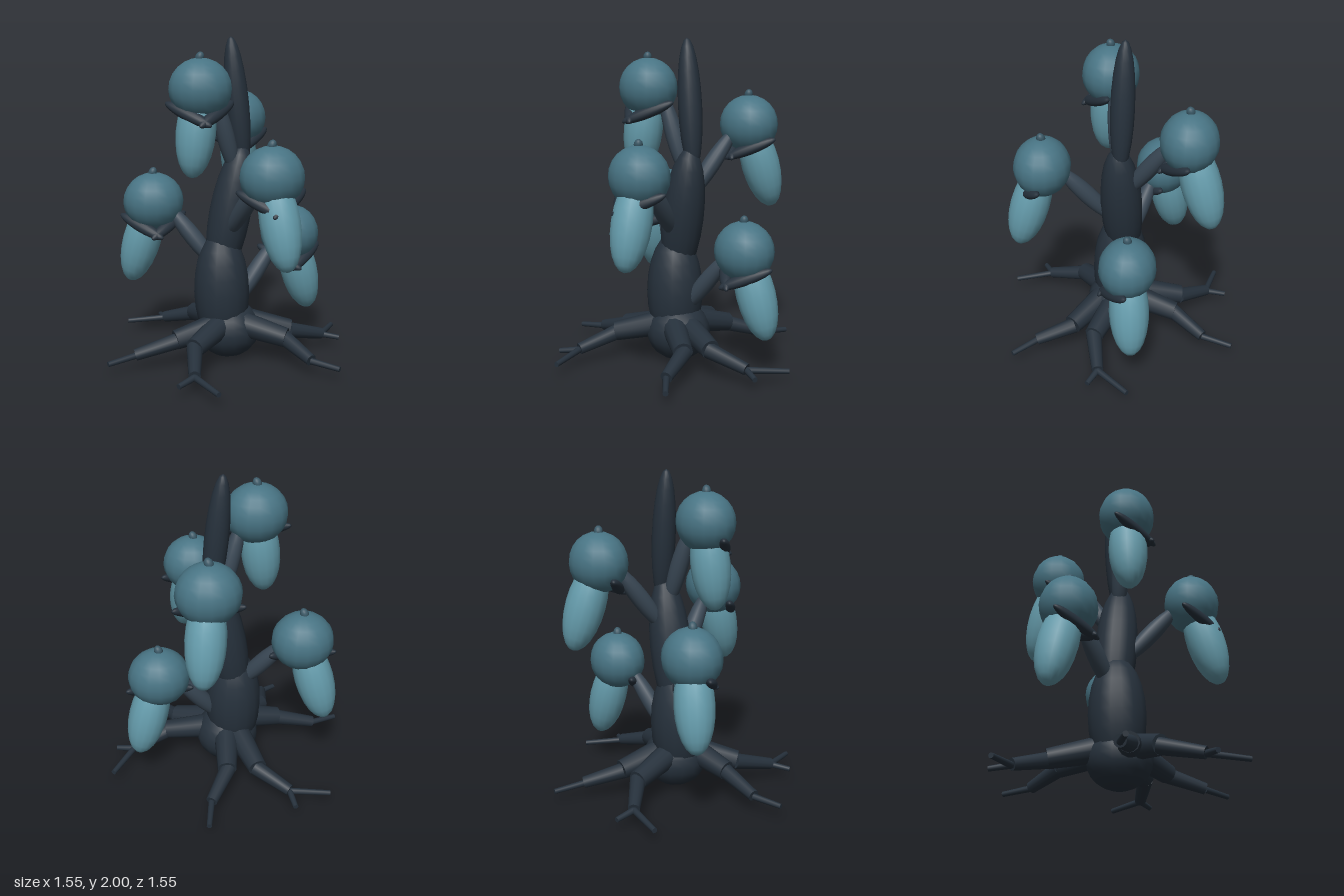
import * as THREE from 'three';

const mat = (color) => new THREE.MeshStandardMaterial({ color });
const V = (p) => new THREE.Vector3(...p);
const UP = new THREE.Vector3(0, 1, 0);

export function createModel() {
  const model = new THREE.Group();
  const bark = mat(0x26313c);
  const stalkMat = mat(0x384653);
  const podMat = mat(0x487484);
  const lobeMat = mat(0x659cac);
  const hornMat = mat(0x3a5866);

  const ball = new THREE.SphereGeometry(1, 16, 12);

  function add(name, geometry, material, parent = model) {
    const mesh = new THREE.Mesh(geometry, material);
    mesh.name = name;
    parent.add(mesh);
    return mesh;
  }

  // Ellipsoid stretched between two points
  function spindle(name, from, to, radius, material, parent) {
    const a = V(from), b = V(to);
    const mesh = add(name, ball, material, parent);
    mesh.position.copy(a).add(b).multiplyScalar(0.5);
    mesh.scale.set(radius, a.distanceTo(b) / 2, radius);
    mesh.quaternion.setFromUnitVectors(UP, b.sub(a).normalize());
    return mesh;
  }

  // Tapered rod between two points
  function rod(name, from, to, r0, r1, parent) {
    const a = V(from), b = V(to);
    const mesh = add(name, new THREE.CylinderGeometry(r1, r0, a.distanceTo(b), 12), bark, parent);
    mesh.position.copy(a).add(b).multiplyScalar(0.5);
    mesh.quaternion.setFromUnitVectors(UP, b.sub(a).normalize());
    return mesh;
  }

  // Trunk: base bulb and three stacked spindles
  spindle('baseBulb', [0.01, 0.005, 0], [0, 0.37, 0], 0.2, bark);
  spindle('lowerTrunk', [-0.03, 0.06, 0], [-0.04, 0.81, -0.01], 0.175, bark);
  spindle('middleTrunk', [-0.06, 0.48, -0.03], [0.1, 1.35, -0.015], 0.13, bark);
  spindle('upperTrunk', [0.11, 1.19, -0.03], [0.03, 2.0, -0.045], 0.073, bark);

  // Roots: thick base, thinner middle, twigs (all points are x, z)
  const roots = [
    { start: [-0.05, -0.09], knee: [-0.14, -0.39], fork: [-0.32, -0.54], tips: [[-0.57, -0.57], [-0.335, -0.67]] },
    { start: [0.02, -0.1], knee: [0.05, -0.38], fork: [0.17, -0.58], tips: [[0.205, -0.77]] },
    { start: [0.08, 0], knee: [0.39, 0.075], fork: [0.62, 0], tips: [[0.76, -0.21], [0.73, 0.04]] },
    { start: [0.06, 0.08], knee: [0.32, 0.23], fork: [0.42, 0.44], tips: [[0.56, 0.56]] },
    { start: [-0.05, 0.08], knee: [-0.26, 0.29], fork: [-0.305, 0.54], tips: [[-0.41, 0.615], [-0.21, 0.77]] },
    { start: [-0.06, 0.08], knee: [-0.35, 0.13], fork: [-0.6, 0.135], tips: [[-0.77, 0.2]] },
  ];
  for (const { start, knee, fork, tips } of roots) {
    const root = new THREE.Group();
    root.name = 'root';
    model.add(root);
    const at = ([x, z], y) => [x, y, z];
    // Continue the middle rod a little back inside the thick one
    const inner = [knee[0] * 1.06 - fork[0] * 0.06, knee[1] * 1.06 - fork[1] * 0.06];
    rod('rootBase', at(start, 0.24), at(knee, 0.175), 0.08, 0.06, root);
    rod('rootMiddle', at(inner, 0.17), at(fork, 0.1), 0.05, 0.036, root);
    for (const tip of tips) rod('rootTwig', at(fork, 0.095), at(tip, 0.078), 0.02, 0.016, root);
  }

  // Pods: centre of each, and where its stalk leaves the trunk
  const pods = [
    { at: [-0.18, 1.7, 0.085], from: [0.06, 1.15, -0.02] },
    { at: [0.16, 1.47, -0.445], from: [0.04, 1.02, -0.05] },
    { at: [0.17, 1.22, 0.43], from: [0.0, 0.8, 0.03] },
    { at: [-0.43, 0.98, -0.205], from: [-0.06, 0.58, -0.03] },
    { at: [0.44, 0.75, -0.145], from: [0.04, 0.32, -0.01] },
  ];
  for (const { at, from } of pods) {
    const [x, y, z] = at;
    const pod = new THREE.Group();
    pod.name = 'pod';
    pod.position.set(x, y, z);
    model.add(pod);

    // Stalk reaches just inside the near side of the pod
    const inward = new THREE.Vector3(from[0] - x, 0, from[2] - z).setLength(0.1);
    spindle('stalk', from, [x + inward.x, y - 0.03, z + inward.z], 0.055, stalkMat);

    add('podHead', ball, podMat, pod).scale.set(0.19, 0.182, 0.172);

    // Hanging lobe swings away from the trunk
    spindle('hangingLobe', [0, 0.02, 0], [x * 0.34, -0.525, z * 0.36], 0.12, lobeMat, pod);

    // Small bud on top
    spindle('topBud', [-0.015, 0.15, -0.005], [0.008, 0.215, 0.008], 0.026, hornMat, pod);

    // Two lips crossing below the front
    for (const s of [-1, 1]) {
      const lip = spindle('lip', [s * 0.205, -0.08, -0.03], [-s * 0.035, -0.205, 0.175], 0.034, bark, pod);
      lip.scale.z = 0.04;
    }
  }
  return model;
}
